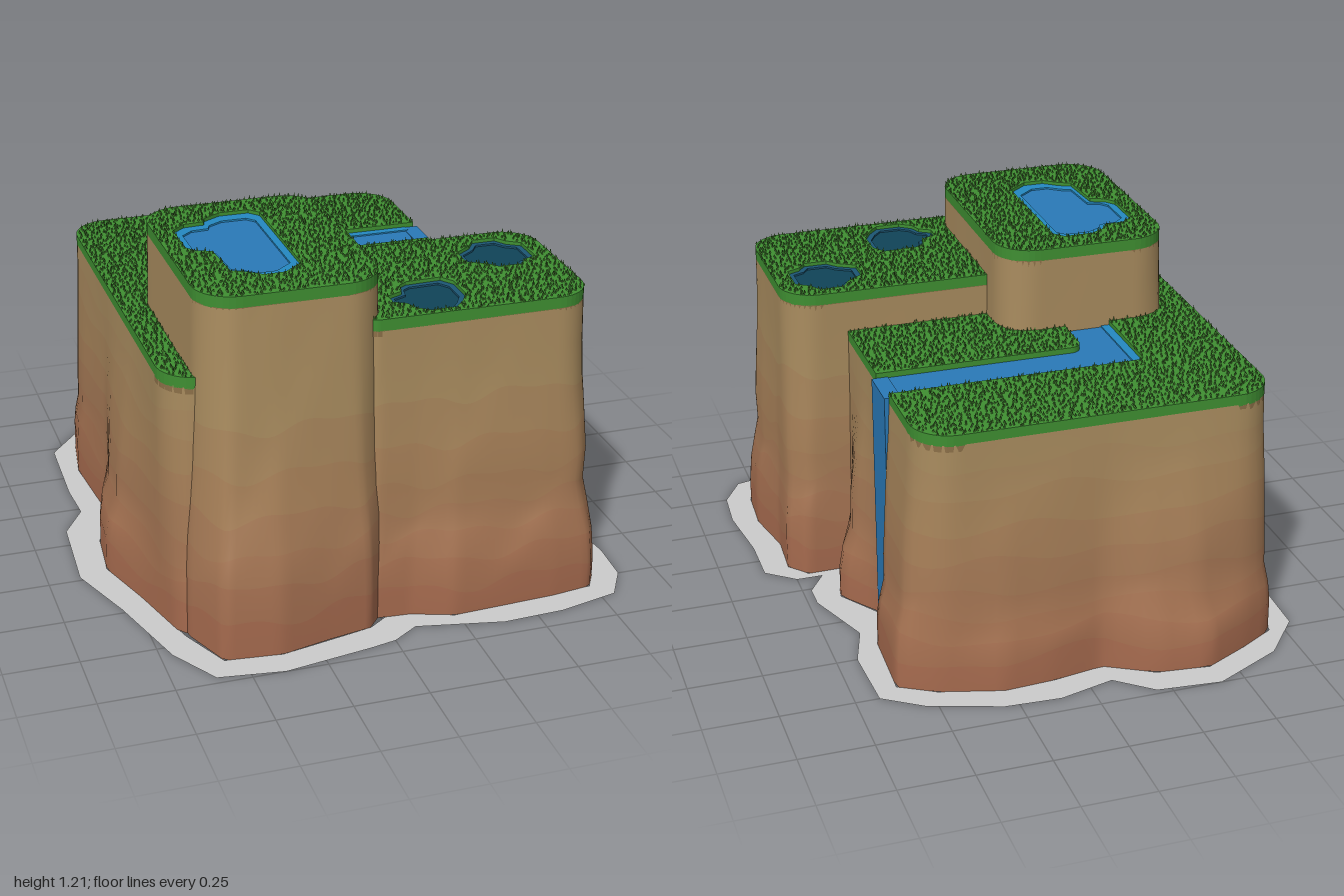
import * as THREE from 'three';
import { mergeGeometries } from 'three/addons/utils/BufferGeometryUtils.js';

const mat = (color, extra = {}) => {
  const m = new THREE.MeshStandardMaterial({ color });
  return Object.assign(m, extra);
};
const grass = mat(0x3f8f32), blade = mat(0x4d8c33, { side: THREE.DoubleSide });
const water = mat(0x2a7ab8), shallow = mat(0x2589c2), deep = mat(0x104458), deepRim = mat(0x1c5674);

let seed = 7;
const rand = () => (seed = (seed * 16807) % 2147483647) / 2147483647;

const vecs = (pts) => pts.map(([x, z]) => new THREE.Vector2(x, z));

// Outline from [x, z, radius] corners, drawn in plan (shape y is model z)
function rounded(corners) {
  const s = new THREE.Shape(), n = corners.length;
  corners.forEach(([x, z, r = 0], i) => {
    const p = new THREE.Vector2(x, z);
    const toward = (c) => new THREE.Vector2(c[0], c[1]).sub(p).setLength(r).add(p);
    const a = toward(corners[(i + n - 1) % n]), b = toward(corners[(i + 1) % n]);
    if (i) s.lineTo(a.x, a.y); else s.moveTo(a.x, a.y);
    if (r) s.bezierCurveTo(a.x + (x - a.x) * 0.55, a.y + (z - a.y) * 0.55,
      b.x + (x - b.x) * 0.55, b.y + (z - b.y) * 0.55, b.x, b.y);
  });
  s.closePath();
  return s;
}
const rect = (x0, x1, z0, z1, r) => [[x0, z0, r], [x1, z0, r], [x1, z1, r], [x0, z1, r]];

// Horizontal plate with its top at the given height
function slab(name, shape, top, depth, material) {
  const g = new THREE.ExtrudeGeometry(shape, { depth, bevelEnabled: false, curveSegments: 10 });
  const m = new THREE.Mesh(g.rotateX(Math.PI / 2).translate(0, top, 0), material);
  m.name = name;
  return m;
}

function inside(x, z, pts) {
  let hit = false;
  for (let i = 0, j = pts.length - 1; i < pts.length; j = i++) {
    const a = pts[i], b = pts[j];
    if ((a.y > z) !== (b.y > z) && x < (b.x - a.x) * (z - a.y) / (b.y - a.y) + a.x) hit = !hit;
  }
  return hit;
}

// Where the ray from c through p leaves the foot polygon
function castToFoot(c, p, foot) {
  const dx = p.x - c.x, dz = p.y - c.y;
  let best = 0;
  foot.forEach((a, i) => {
    const b = foot[(i + 1) % foot.length], ex = b.x - a.x, ez = b.y - a.y;
    const den = dx * ez - dz * ex;
    if (Math.abs(den) < 1e-9) return;
    const ax = a.x - c.x, az = a.y - c.y;
    const t = (ax * ez - az * ex) / den, u = (ax * dz - az * dx) / den;
    if (t > best && u >= 0 && u <= 1) best = t;
  });
  return new THREE.Vector2(c.x + dx * best, c.y + dz * best);
}

// Cliff wall lofted from foot polygon to plateau outline; profile is [height, flare]
function cliff(name, outline, foot, profile) {
  const top = outline.getSpacedPoints(144);
  top.pop();
  const n = top.length, pos = [], idx = [], mats = [];
  const c = new THREE.Box2().setFromPoints(top).getCenter(new THREE.Vector2());
  const base = top.map((p) => castToFoot(c, p, foot));
  const geo = new THREE.BufferGeometry();
  const red = new THREE.Color(0xa56a4e), tan = new THREE.Color(0xa88b5e);
  profile.forEach(([y, w], j) => {
    top.forEach((p, i) => {
      const a = (i / n) * Math.PI * 2;
      const edge = j === 0 || j === profile.length - 1;
      const q = p.clone().lerp(base[i], w);
      pos.push(q.x, edge ? y : y + 0.016 * Math.sin(a * 7 + j) + 0.01 * Math.sin(a * 13 + j * 2), q.y);
    });
    if (j === profile.length - 1) return;
    geo.addGroup(idx.length, n * 6, j);
    mats.push(mat(red.clone().lerp(tan, Math.min(1, y / 0.75)).getHex()));
    for (let i = 0; i < n; i++) {
      const a = j * n + i, b = j * n + (i + 1) % n;
      idx.push(a, a + n, b, b, a + n, b + n);
    }
  });
  geo.setAttribute('position', new THREE.Float32BufferAttribute(pos, 3));
  geo.setIndex(idx);
  geo.computeVertexNormals();
  const m = new THREE.Mesh(geo, mats);
  m.name = name;
  return m;
}

// Short tufts scattered on a jittered grid, skipping ponds and covered ground
function tufts(name, shape, top, skip = []) {
  const pts = shape.getPoints(8), box = new THREE.Box2().setFromPoints(pts), parts = [], step = 0.017;
  const cone = new THREE.ConeGeometry(0.004, 0.013, 3, 1, true);
  for (let x = box.min.x; x < box.max.x; x += step) for (let z = box.min.y; z < box.max.y; z += step) {
    const px = x + rand() * step, pz = z + rand() * step, turn = rand() * 6.28, tall = 0.6 + rand() * 0.6;
    if (!inside(px, pz, pts) || skip.some((s) => inside(px, pz, s))) continue;
    parts.push(cone.clone().scale(1, tall, 1).rotateY(turn).translate(px, top + 0.0065 * tall, pz));
  }
  const m = new THREE.Mesh(mergeGeometries(parts), blade);
  m.name = name;
  return m;
}

// Sunken pond with a paler stepped rim
function pond(name, pts, top, mid, edge) {
  const g = new THREE.Group(), c = new THREE.Box2().setFromPoints(pts).getCenter(new THREE.Vector2());
  const ring = new THREE.Shape(pts), inner = pts.map((p) => p.clone().sub(c).multiplyScalar(0.84).add(c));
  ring.holes.push(new THREE.Path(inner));
  g.add(slab(name + 'Rim', ring, top - 0.012, 0.025, edge), slab(name + 'Water', new THREE.Shape(inner), top - 0.018, 0.02, mid));
  g.name = name;
  return g;
}

export function createModel() {
  const model = new THREE.Group();
  model.name = 'grassyCliffs';

  // Ground skirt and underside
  const skirtPts = vecs([[-0.42, -1], [-0.2, -0.98], [-0.08, -0.88], [0.11, -0.93], [0.3, -0.92], [0.54, -0.84],
    [0.67, -0.75], [0.68, -0.5], [0.63, -0.34], [0.72, -0.1], [0.72, -0.01], [0.66, 0.08], [0.75, 0.08], [0.85, 0.16],
    [0.85, 0.35], [0.88, 0.59], [0.87, 0.75], [0.8, 0.87], [0.59, 0.92], [0.38, 0.93], [0.09, 0.87], [0, 0.93],
    [-0.09, 0.95], [-0.39, 1], [-0.61, 0.97], [-0.71, 0.8], [-0.8, 0.48], [-0.89, 0.23], [-0.87, -0.1],
    [-0.79, -0.23], [-0.8, -0.39], [-0.79, -0.72], [-0.66, -0.88]]);
  const footPts = vecs([[-0.42, -0.9], [-0.24, -0.88], [-0.08, -0.79], [0.1, -0.82], [0.27, -0.83], [0.48, -0.77],
    [0.6, -0.7], [0.59, -0.42], [0.53, -0.38], [0.53, -0.23], [0.63, -0.08], [0.62, -0.02], [0.54, 0.12], [0.7, 0.11],
    [0.76, 0.18], [0.75, 0.35], [0.79, 0.55], [0.78, 0.73], [0.74, 0.8], [0.6, 0.82], [0.24, 0.84], [0.1, 0.79],
    [0.02, 0.78], [-0.05, 0.83], [-0.37, 0.9], [-0.56, 0.88], [-0.64, 0.7], [-0.72, 0.42], [-0.79, 0.2], [-0.77, 0],
    [-0.7, -0.2], [-0.73, -0.55], [-0.7, -0.75], [-0.58, -0.82]]);
  const ring = new THREE.Shape(skirtPts);
  ring.holes.push(new THREE.Path(footPts));
  const flat = (name, shape, m) => {
    const mesh = new THREE.Mesh(new THREE.ShapeGeometry(shape).rotateX(Math.PI / 2), m);
    mesh.name = name;
    model.add(mesh);
  };
  flat('groundSkirt', ring, mat(0xcccccc, { side: THREE.DoubleSide }));
  flat('underside', new THREE.Shape(footPts), mat(0x4a382b));

  // Cliff walls, each with a rock bed under its grass
  const low = rect(-0.68, 0.52, -0.75, 0.68, 0.13), tall = rect(-0.58, 0.02, -0.05, 0.76, 0.13);
  const mid = rect(-0.03, 0.73, 0.14, 0.74, 0.12);
  low[2][2] = 0.05;
  mid[0][2] = mid[3][2] = 0.03;
  const lowFoot = vecs([[-0.42, -0.9], [-0.24, -0.88], [-0.08, -0.79], [0.1, -0.82], [0.27, -0.83], [0.48, -0.77],
    [0.6, -0.7], [0.59, -0.42], [0.525, -0.38], [0.525, -0.23], [0.63, -0.08], [0.62, -0.02], [0.54, 0.12], [0.54, 0.69],
    [-0.55, 0.7], [-0.65, 0.68], [-0.72, 0.42], [-0.79, 0.2], [-0.77, 0], [-0.7, -0.2], [-0.73, -0.55], [-0.7, -0.75],
    [-0.58, -0.82]]);
  const tallFoot = vecs([[-0.6, -0.07], [0.03, -0.07], [0.045, 0.3], [0.04, 0.72], [-0.05, 0.83], [-0.2, 0.86],
    [-0.37, 0.9], [-0.56, 0.88], [-0.63, 0.7], [-0.63, 0.2]]);
  const midFoot = vecs([[-0.03, 0.12], [0.7, 0.11], [0.76, 0.18], [0.75, 0.35], [0.79, 0.55], [0.78, 0.73],
    [0.74, 0.8], [0.6, 0.82], [0.24, 0.84], [0.1, 0.79], [-0.03, 0.78]]);
  const plateaus = [
    ['low', low, lowFoot, 0.905, [[0, 1], [0.1, 0.98], [0.18, 0.85], [0.25, 0.55], [0.34, 0.52], [0.45, 0.42],
      [0.56, 0.3], [0.68, 0.13], [0.78, 0.05], [0.87, 0]]],
    ['tall', tall, tallFoot, 1.195, [[0, 1], [0.12, 0.99], [0.24, 0.93], [0.34, 0.8], [0.46, 0.58], [0.6, 0.4],
      [0.75, 0.26], [0.9, 0.15], [1.04, 0.06], [1.155, 0]]],
    ['middle', mid, midFoot, 1.05, [[0, 1], [0.1, 1], [0.2, 0.88], [0.29, 0.62], [0.37, 0.4], [0.47, 0.45],
      [0.6, 0.3], [0.75, 0.14], [0.88, 0.05], [1.01, 0]]],
  ];
  for (const [name, corners, foot, top, profile] of plateaus) {
    const shape = rounded(corners);
    model.add(cliff(name + 'Cliff', shape, foot, profile),
      slab(name + 'RockBed', shape, top - 0.038, 0.02, mat(0x8c7048)));
  }

  // Grass caps with openings for the ponds and river
  const bluePond = vecs([[-0.33, 0.05], [-0.23, 0.05], [-0.2, 0.085], [-0.2, 0.55], [-0.27, 0.61], [-0.34, 0.61],
    [-0.39, 0.57], [-0.43, 0.55], [-0.44, 0.375], [-0.49, 0.355], [-0.515, 0.32], [-0.515, 0.16], [-0.47, 0.12],
    [-0.4, 0.115], [-0.39, 0.085]]);
  const backPond = vecs([[0.52, 0.19], [0.6, 0.19], [0.625, 0.23], [0.67, 0.26], [0.67, 0.38], [0.625, 0.4],
    [0.6, 0.435], [0.52, 0.435], [0.49, 0.4], [0.43, 0.365], [0.43, 0.28], [0.49, 0.235]]);
  const frontPond = vecs([[0.18, 0.47], [0.3, 0.465], [0.33, 0.51], [0.33, 0.615], [0.3, 0.67], [0.265, 0.71],
    [0.18, 0.71], [0.14, 0.68], [0.125, 0.64], [0.085, 0.615], [0.085, 0.565], [0.14, 0.54], [0.15, 0.49]]);
  const lowGrass = rounded([[-0.68, -0.75, 0.13], [0.52, -0.75, 0.13], [0.52, -0.39], [-0.36, -0.39, 0.02],
    [-0.36, 0.02], [-0.2, 0.02], [-0.2, -0.23, 0.04], [0.52, -0.23], [0.52, 0.68, 0.05], [-0.68, 0.68, 0.13]]);
  const covers = [tall, mid].map((c) => rounded(c).getPoints(8));
  const cap = (name, shape, top, ponds, skip) => {
    model.add(tufts(name + 'Tufts', shape, top, skip));
    shape.holes.push(...ponds.map((p) => new THREE.Path(p)));
    model.add(slab(name, shape, top, 0.04, grass));
  };
  cap('lowGrass', lowGrass, 0.905, [], covers);
  cap('tallGrass', rounded(tall), 1.195, [bluePond], [bluePond]);
  cap('middleGrass', rounded(mid), 1.05, [backPond, frontPond], [backPond, frontPond, covers[0]]);
  model.add(pond('bluePond', bluePond, 1.195, water, shallow),
    pond('backPond', backPond, 1.05, deep, deepRim), pond('frontPond', frontPond, 1.05, deep, deepRim));

  // River, its shallow bank and the waterfall
  const river = rounded([[-0.36, -0.39], [0.5, -0.39], [0.5, -0.23], [-0.2, -0.23, 0.04], [-0.2, 0], [-0.36, 0]]);
  const bank = rounded([[-0.36, -0.39], [0.49, -0.39], [0.49, -0.36], [-0.33, -0.36], [-0.33, 0], [-0.36, 0]]);
  model.add(slab('river', river, 0.885, 0.02, water), slab('riverBank', bank, 0.89, 0.02, shallow),
    slab('waterfall', rounded(rect(0.48, 0.535, -0.39, -0.23, 0)), 0.888, 0.886, water));
  return model;
}
